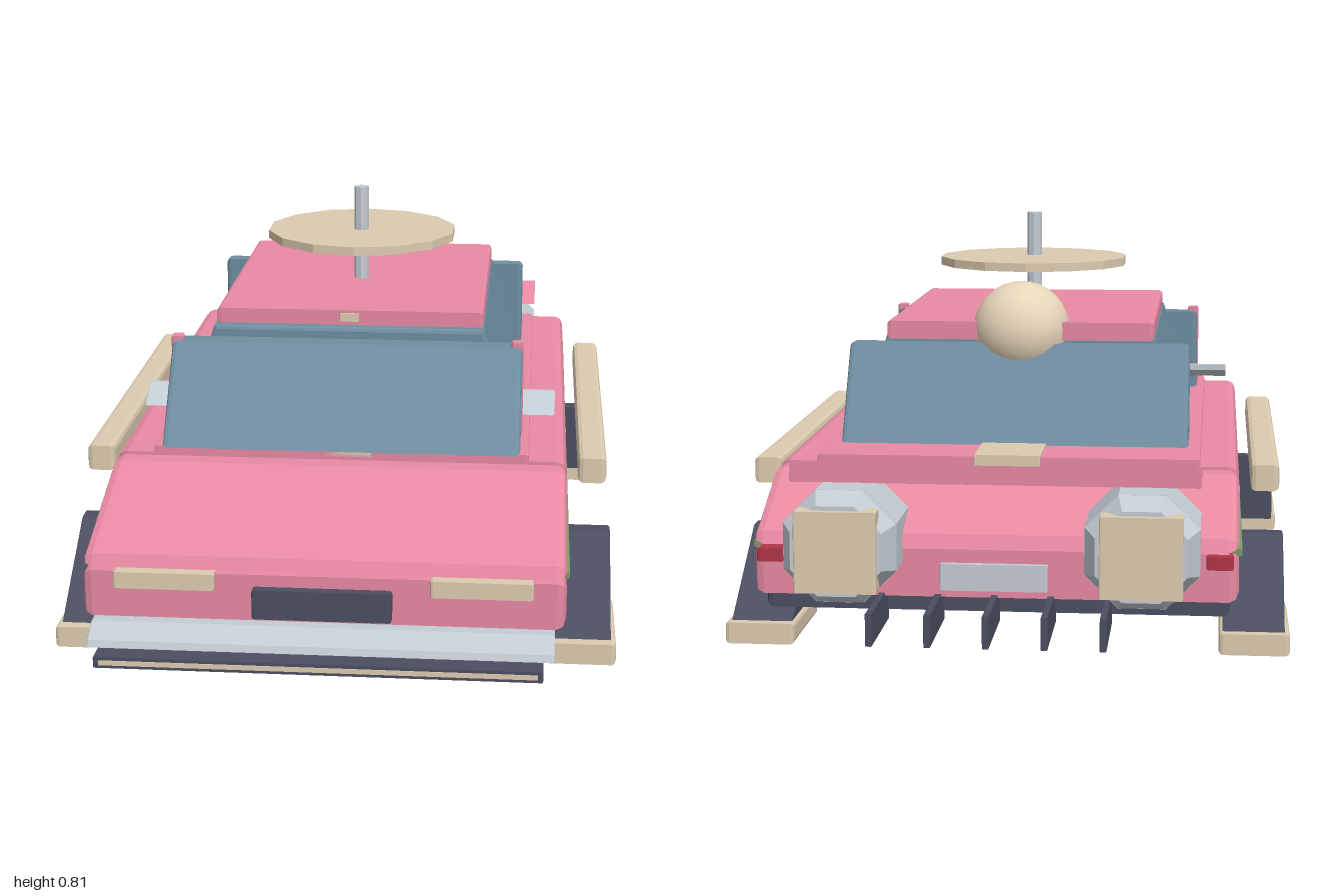
import * as THREE from 'three';

const mat = (color, flatShading = true) => new THREE.MeshStandardMaterial({ color, flatShading });
const pink = mat(0xe88aa3), glass = mat(0x6f8ea1), dark = mat(0x4b4e60), cream = mat(0xdccbb0);
const steel = mat(0xc4ccd3), green = mat(0x7d9a68), red = mat(0xb0354a), smoothCream = mat(0xe8d6ba, false);

// Bevelled extrusion of a profile, centred along its depth
function slab(points, depth, bevel) {
  const shape = new THREE.Shape(points.map(([a, b]) => new THREE.Vector2(a, b)));
  const geo = new THREE.ExtrudeGeometry(shape, {
    depth: depth - 2 * bevel, bevelEnabled: bevel > 0, bevelSize: bevel,
    bevelThickness: bevel, bevelOffset: -bevel, bevelSegments: 2,
  });
  return geo.translate(0, 0, bevel - depth / 2);
}

// Side profile given as [z, y], extruded across x
const sideSlab = (points, width, bevel) => slab(points, width, bevel).rotateY(-Math.PI / 2);

// Box from its limits, with softened edges
function box([x0, x1], [y0, y1], [z0, z1], bevel = 0.005) {
  return sideSlab([[z0, y0], [z1, y0], [z1, y1], [z0, y1]], x1 - x0, bevel).translate((x0 + x1) / 2, 0, 0);
}

export function createModel() {
  const car = new THREE.Group();
  car.name = 'hoverCar';
  const add = (name, geometry, material) => {
    const mesh = new THREE.Mesh(geometry, material);
    mesh.name = name;
    car.add(mesh);
    return mesh;
  };

  // Main body
  add('underbody', box([-0.435, 0.435], [0.115, 0.175], [-0.81, 0.84], 0.012), dark);
  add('lowerBody', box([-0.45, 0.45], [0.15, 0.24], [-0.845, 0.885], 0.018), pink);
  add('middleBody', box([-0.45, 0.45], [0.24, 0.357], [-0.605, 0.53], 0.02), pink);
  add('hood', sideSlab([[0.88, 0.245], [0.87, 0.268], [0.575, 0.352], [0.535, 0.352], [0.535, 0.245]], 0.9, 0.018), pink);
  add('trunk', sideSlab([[-0.85, 0.245], [-0.84, 0.268], [-0.65, 0.352], [-0.61, 0.352], [-0.61, 0.245]], 0.9, 0.018), pink);
  add('deck', box([-0.375, 0.375], [0.33, 0.37], [-0.605, 0.53]), pink);
  add('deckStripe', box([-0.065, 0.065], [0.35, 0.374], [-0.61, 0.53], 0.002), cream);

  // Cabin
  const cabin = slab([[-0.345, 0.36], [0.345, 0.36], [0.278, 0.572], [-0.278, 0.572]], 0.67, 0.008);
  add('cabinGlass', cabin.translate(0, 0, 0.005), glass);
  add('windshield', sideSlab([[0.535, 0.368], [0.39, 0.55], [0.345, 0.55], [0.345, 0.368]], 0.715, 0.01), glass);
  add('rearWindow', sideSlab([[-0.475, 0.368], [-0.36, 0.56], [-0.325, 0.56], [-0.325, 0.368]], 0.7, 0.01), glass);
  add('roof', box([-0.276, 0.276], [0.566, 0.603], [-0.34, 0.315], 0.008), pink);
  add('roofLamp', box([-0.02, 0.02], [0.58, 0.597], [0.3, 0.32], 0.002), cream);

  // Roof equipment
  add('mast', new THREE.CylinderGeometry(0.016, 0.016, 0.225, 8).translate(0, 0.693, 0.015), steel);
  add('rotorDisc', new THREE.CylinderGeometry(0.205, 0.205, 0.018, 14).translate(0, 0.702, 0), cream);
  add('sensorDome', new THREE.SphereGeometry(0.1, 24, 16).translate(0, 0.583, -0.295), smoothCream);

  // Front end
  add('bumper', sideSlab([[0.875, 0.117], [0.96, 0.117], [0.955, 0.13], [0.91, 0.15], [0.875, 0.15]], 0.86, 0.004), steel);
  add('frontBlade', box([-0.41, 0.41], [0.094, 0.115], [0.86, 0.998], 0.003), dark);
  add('bladeStripe', box([-0.4, 0.4], [0.1, 0.109], [0.99, 1], 0.001), cream);
  add('frontPanel', box([-0.13, 0.13], [0.16, 0.217], [0.87, 0.905]), dark);

  // Rear end
  add('rearPanel', box([-0.1, 0.1], [0.165, 0.215], [-0.858, -0.83], 0.003), steel);
  add('spoiler', sideSlab([[-0.72, 0.366], [-0.845, 0.362], [-0.845, 0.398]], 0.76, 0.002), pink);
  for (let i = -2; i <= 2; i++) {
    const x = i * 0.105;
    add('rearFin', box([x - 0.006, x + 0.006], [0.095, 0.155], [-1, -0.8], 0.001), dark);
  }

  // Mirrored side parts
  for (const s of [-1, 1]) {
    const span = (a, b) => (s > 0 ? [a, b] : [-b, -a]);
    const label = (part) => (s > 0 ? 'left' : 'right') + part;
    const pair = (part, xs, ys, zs, material, bevel) => add(label(part), box(span(...xs), ys, zs, bevel), material);

    pair('Headlight', [0.2, 0.39], [0.21, 0.242], [0.865, 0.897], cream);
    pair('TailLight', [0.39, 0.44], [0.215, 0.24], [-0.866, -0.83], red, 0.004);
    pair('SideRail', [0.475, 0.532], [0.283, 0.335], [-0.465, 0.475 - 0.04], cream, 0.01);
    pair('UpperTrim', [0.435, 0.456], [0.232, 0.246], [-0.82, 0.835], green, 0.003);
    pair('LowerTrim', [0.42, 0.452], [0.125, 0.16], [-0.35, 0.38], green, 0.003);
    pair('Handle', [0.44, 0.458], [0.206, 0.222], [-0.135, -0.06], steel, 0.003);
    pair('Pillar', [0.335, 0.36], [0.36, 0.56], [0.36, 0.387], pink);
    for (const z of [0.26, 0.13, -0.185]) pair('DoorSeam', [0.44, 0.453], [0.165, 0.235], [z - 0.005, z + 0.005], dark, 0.001);

    // Wedge mirror
    const mirror = sideSlab([[0.345, 0.397], [0.28, 0.42], [0.28, 0.433], [0.29, 0.433]], 0.095, 0.003);
    add(label('Mirror'), mirror.translate(s * 0.378, 0, 0), steel);

    // Wedge legs with landing pads
    for (const d of [1, -1]) {
      const [top, toe] = d > 0 ? [0.425, 0.68] : [-0.4, -0.655];
      const leg = sideSlab([[top, 0.035], [toe, 0.035], [top + d * 0.035, 0.19], [top, 0.19]], 0.12, 0.004);
      add(label(d > 0 ? 'FrontLeg' : 'RearLeg'), leg.translate(s * 0.482, 0, 0), dark);
      const pad = d > 0 ? [0.455, 0.695] : [-0.665, -0.415];
      pair(d > 0 ? 'FrontPad' : 'RearPad', [0.415, 0.552], [0, 0.042], pad, cream, 0.008);
    }

    // Octagonal thruster with square nozzle
    const thruster = new THREE.CylinderGeometry(0.113, 0.113, 0.15, 8).rotateY(Math.PI / 8).rotateX(Math.PI / 2);
    add(label('Thruster'), thruster.translate(s * 0.275, 0.258, -0.84), steel);
    for (const [z, front, back] of [[-0.75, 0.09, 0.113], [-0.937, 0.113, 0.09]]) {
      const taper = new THREE.CylinderGeometry(front, back, z > -0.8 ? 0.03 : 0.045, 8);
      add(label('ThrusterTaper'), taper.rotateY(Math.PI / 8).rotateX(Math.PI / 2).translate(s * 0.275, 0.258, z), steel);
    }
    pair('Nozzle', [0.2, 0.35], [0.183, 0.333], [-0.972, -0.93], cream, 0.003);
  }
  return car;
}
